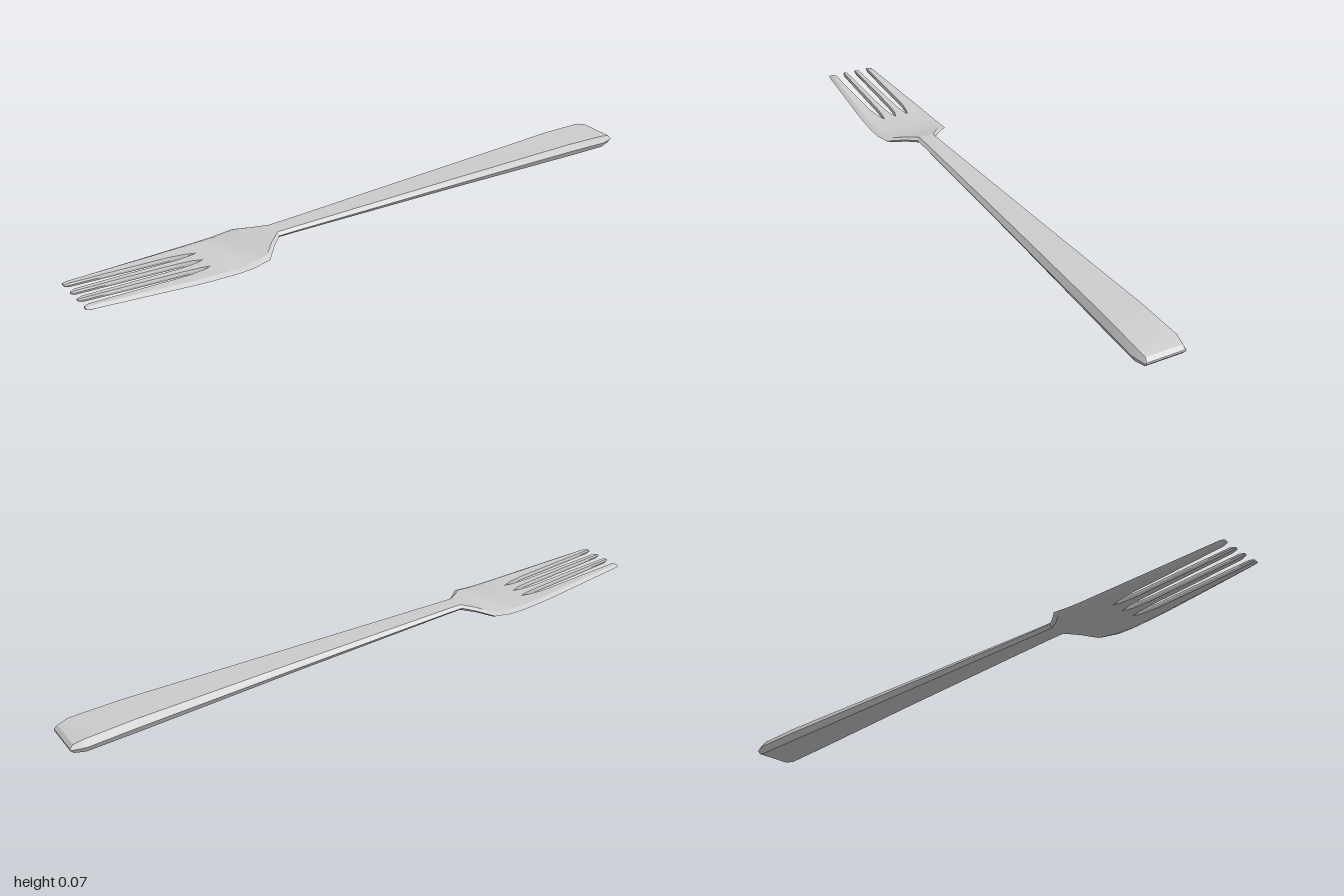
import * as THREE from 'three';
import { toCreasedNormals } from 'three/addons/utils/BufferGeometryUtils.js';

const material = new THREE.MeshStandardMaterial({ color: 0xcccccc });

// Six-sided ring: flat top and bottom, each side pointed at mid height.
// Section = [x, zMin, zMax, yBottom, yTop, bevel at zMin, bevel at zMax]
function ring([x, z0, z1, y0, y1, b0, b1]) {
  const m = (y0 + y1) / 2;
  return [
    [x, m, z0], [x, y1, z0 + b0], [x, y1, z1 - b1],
    [x, m, z1], [x, y0, z1 - b1], [x, y0, z0 + b0],
  ];
}

// Skin the sections, listed by increasing x, with optional end caps.
function loft(name, sections, capStart, capEnd) {
  const index = [];
  const last = (sections.length - 1) * 6;
  for (let i = 0; i < sections.length - 1; i++) {
    for (let j = 0; j < 6; j++) {
      const a = i * 6 + j, b = i * 6 + (j + 1) % 6;
      index.push(a, b, b + 6, a, b + 6, a + 6);
    }
  }
  for (let j = 1; j < 5; j++) {
    if (capStart) index.push(0, j + 1, j);
    if (capEnd) index.push(last, last + j, last + j + 1);
  }
  const geometry = new THREE.BufferGeometry();
  geometry.setAttribute('position', new THREE.Float32BufferAttribute(sections.flatMap(ring).flat(), 3));
  geometry.setIndex(index);
  const mesh = new THREE.Mesh(toCreasedNormals(geometry, 0.4), material);
  mesh.name = name;
  return mesh;
}

// Symmetric section: x, half width, bottom, top, bevel
const even = ([x, w, y0, y1, b]) => [x, -w, w, y0, y1, b, b];
const mirror = ([x, z0, z1, y0, y1, b0, b1]) => [x, -z1, -z0, y0, y1, b1, b0];

export function createModel() {
  const fork = new THREE.Group();
  fork.name = 'fork';

  // Dished head, from the tine roots to the neck
  const neck = [-0.36, 0.035, 0.055, 0.074, 0.009];
  fork.add(loft('head', [
    [-0.6, 0.115, 0.035, 0.049, 0.016],
    [-0.55, 0.117, 0.032, 0.047, 0.017],
    [-0.5, 0.117, 0.032, 0.047, 0.018],
    [-0.44, 0.112, 0.038, 0.054, 0.018],
    [-0.4, 0.07, 0.048, 0.066, 0.014],
    neck,
  ].map(even), false, false));

  // Widening handle with a wedge-shaped end
  fork.add(loft('handle', [
    neck,
    [-0.3, 0.036, 0.053, 0.073, 0.009],
    [0.3, 0.055, 0.029, 0.062, 0.011],
    [0.8, 0.072, 0.007, 0.052, 0.012],
    [0.955, 0.077, 0.001, 0.043, 0.013],
    [0.99, 0.067, 0.006, 0.034, 0.008],
    [1, 0.064, 0.017, 0.023, 0.003],
  ].map(even), false, true));

  // Tines: only the outermost edge keeps the wide bevel of the head
  const tines = {
    innerTine: [
      [-1, 0.017, 0.027, 0.067, 0.073, 0.002, 0.002],
      [-0.985, 0.015, 0.031, 0.063, 0.076, 0.002, 0.002],
      [-0.84, 0.014, 0.034, 0.051, 0.066, 0.002, 0.002],
      [-0.68, 0.012, 0.037, 0.039, 0.054, 0.002, 0.002],
      [-0.63, 0.008, 0.04, 0.036, 0.051, 0.001, 0.001],
      [-0.6, 0, 0.045, 0.035, 0.049, 0, 0],
    ],
    outerTine: [
      [-1, 0.064, 0.084, 0.067, 0.073, 0.002, 0.008],
      [-0.985, 0.062, 0.088, 0.063, 0.076, 0.002, 0.01],
      [-0.84, 0.061, 0.099, 0.051, 0.066, 0.002, 0.013],
      [-0.68, 0.059, 0.111, 0.039, 0.054, 0.002, 0.015],
      [-0.63, 0.053, 0.114, 0.036, 0.051, 0.001, 0.016],
      [-0.6, 0.045, 0.115, 0.035, 0.049, 0, 0.016],
    ],
  };
  for (const [name, sections] of Object.entries(tines)) {
    fork.add(loft(name + 'Front', sections, true, false));
    fork.add(loft(name + 'Back', sections.map(mirror), true, false));
  }
  return fork;
}
